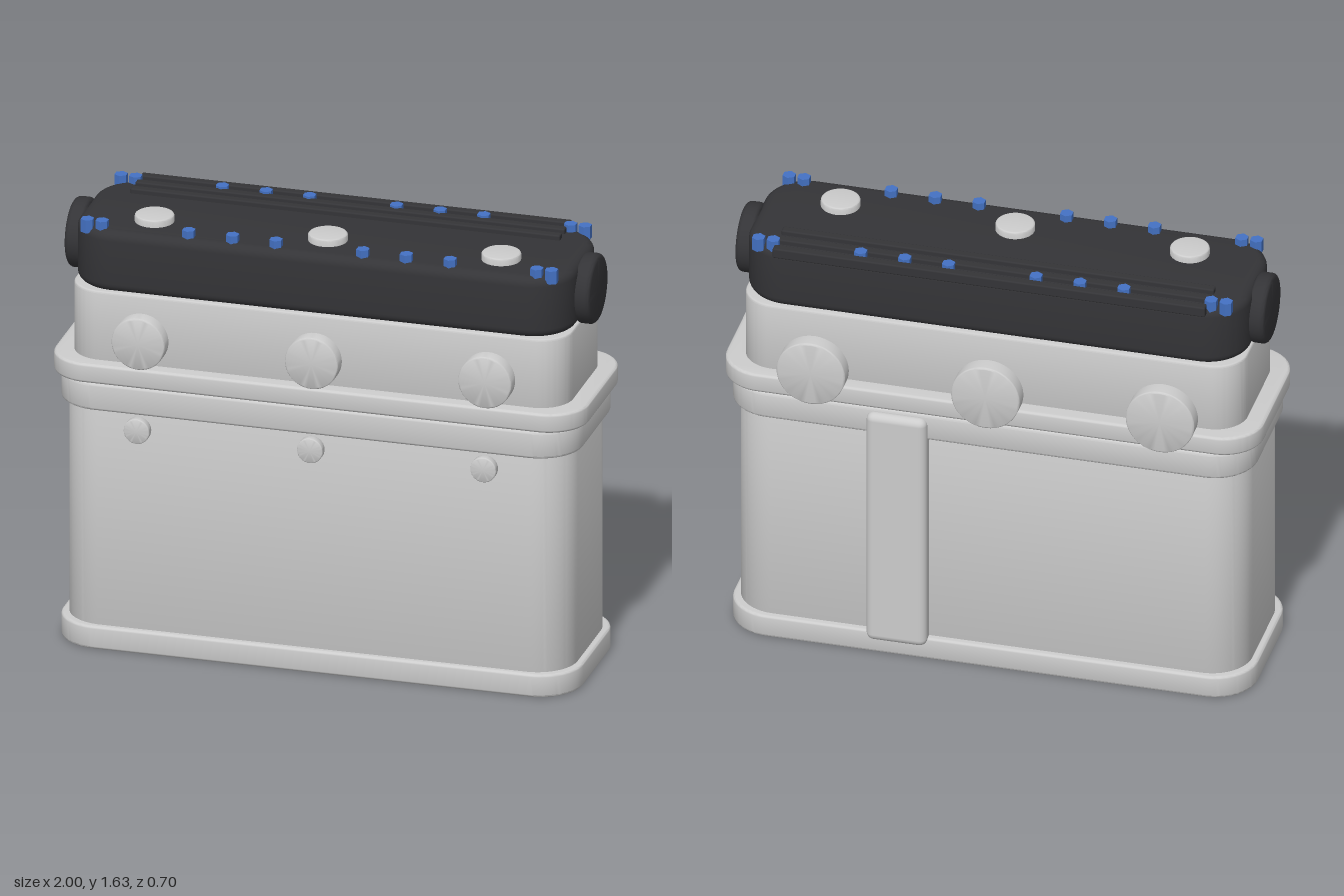
import * as THREE from 'three';
import { toCreasedNormals } from 'three/addons/utils/BufferGeometryUtils.js';
import { RoundedBoxGeometry } from 'three/addons/geometries/RoundedBoxGeometry.js';

const grey = new THREE.MeshStandardMaterial({ color: 0xcccccc });
const black = new THREE.MeshStandardMaterial({ color: 0x343437 });
const blue = new THREE.MeshStandardMaterial({ color: 0x4472c4 });
const MID_Z = 0.006;

// Block with a rounded-rectangle plan and softened top and bottom rims
function slab(width, depth, radius, y0, y1, bevel, segments = 3) {
  const w = width / 2 - bevel, d = depth / 2 - bevel, r = radius - bevel;
  const s = new THREE.Shape();
  s.moveTo(-w + r, -d);
  s.lineTo(w - r, -d);
  s.absarc(w - r, -d + r, r, -Math.PI / 2, 0);
  s.absarc(w - r, d - r, r, 0, Math.PI / 2);
  s.absarc(-w + r, d - r, r, Math.PI / 2, Math.PI);
  s.absarc(-w + r, -d + r, r, Math.PI, Math.PI * 1.5);
  const g = new THREE.ExtrudeGeometry(s, {
    depth: y1 - y0 - 2 * bevel, bevelEnabled: true, bevelSize: bevel,
    bevelThickness: bevel, bevelSegments: segments, curveSegments: 12,
  });
  g.rotateX(-Math.PI / 2);
  g.translate(0, y0 + bevel, MID_Z);
  return toCreasedNormals(g, 0.6);
}

// Round plug along +y from 0 to length with a rounded outer rim
function plug(radius, length, bevel, bothEnds = false) {
  const pts = [new THREE.Vector2(0, 0)];
  if (bothEnds) {
    for (let i = 0; i <= 4; i++) {
      const a = (i / 4) * Math.PI / 2;
      pts.push(new THREE.Vector2(radius - bevel + bevel * Math.sin(a), bevel - bevel * Math.cos(a)));
    }
  } else pts.push(new THREE.Vector2(radius, 0));
  for (let i = 0; i <= 4; i++) {
    const a = (i / 4) * Math.PI / 2;
    pts.push(new THREE.Vector2(radius - bevel + bevel * Math.cos(a), length - bevel + bevel * Math.sin(a)));
  }
  pts.push(new THREE.Vector2(0, length));
  return toCreasedNormals(new THREE.LatheGeometry(pts, 40), 0.6);
}

export function createModel() {
  const model = new THREE.Group();
  function add(name, geometry, material, x = 0, y = 0, z = 0) {
    const m = new THREE.Mesh(geometry, material);
    m.name = name;
    m.position.set(x, y, z);
    model.add(m);
    return m;
  }

  // Stacked housing
  add('baseFlange', slab(1.95, 0.65, 0.16, 0, 0.088, 0.01), grey);
  add('block', slab(1.9, 0.6, 0.15, 0.05, 0.96, 0.005), grey);
  add('blockFlange', slab(1.95, 0.65, 0.16, 0.93, 1.034, 0.01), grey);
  add('headFlange', slab(2, 0.65, 0.15, 1.034, 1.107, 0.01), grey);
  add('head', slab(1.865, 0.54, 0.12, 1.08, 1.373, 0.008), grey);
  add('cover', slab(1.865, 0.52, 0.16, 1.367, 1.603, 0.035, 6), black);

  // Round ports and plugs, one set per station
  for (const x of [-0.65, 0, 0.65]) {
    add('frontPort', plug(0.1, 0.08, 0.008), grey, x, 1.205, 0.25).rotation.x = Math.PI / 2;
    add('rearPort', plug(0.128, 0.085, 0.008), grey, x, 1.143, -0.238).rotation.x = -Math.PI / 2;
    add('frontStud', plug(0.048, 0.035, 0.005, true), grey, x, 0.873, 0.315).rotation.x = Math.PI / 2;
    add('topCap', plug(0.072, 0.05, 0.008), grey, x, 1.58, 0.11);
  }

  // Discs on both ends of the cover
  for (const side of [-1, 1]) {
    add('endDisc', plug(0.129, 0.065, 0.018, true), black, side * 0.92, 1.482, 0.005).rotation.z = -side * Math.PI / 2;
  }

  // Upright duct on the back
  add('rearDuct', new RoundedBoxGeometry(0.225, 0.96, 0.1, 3, 0.028), grey, 0.328, 0.54, -0.297);

  // Long ridges on the rear half of the cover
  for (const z of [-0.127, -0.19, -0.255]) {
    add('coverRidge', new RoundedBoxGeometry(1.61, 0.04, 0.034, 2, 0.006), black, 0, 1.602, z);
  }

  // Hexagonal bolts along both edges
  const bolt = toCreasedNormals(new THREE.CylinderGeometry(0.025, 0.025, 0.05, 6), 0.3);
  for (const x of [0.163, 0.326, 0.49, 0.815, 0.87]) {
    for (const side of [-1, 1]) {
      for (const z of [-0.217, 0.22]) add('coverBolt', bolt, blue, side * x, 1.605, z);
    }
  }
  return model;
}
